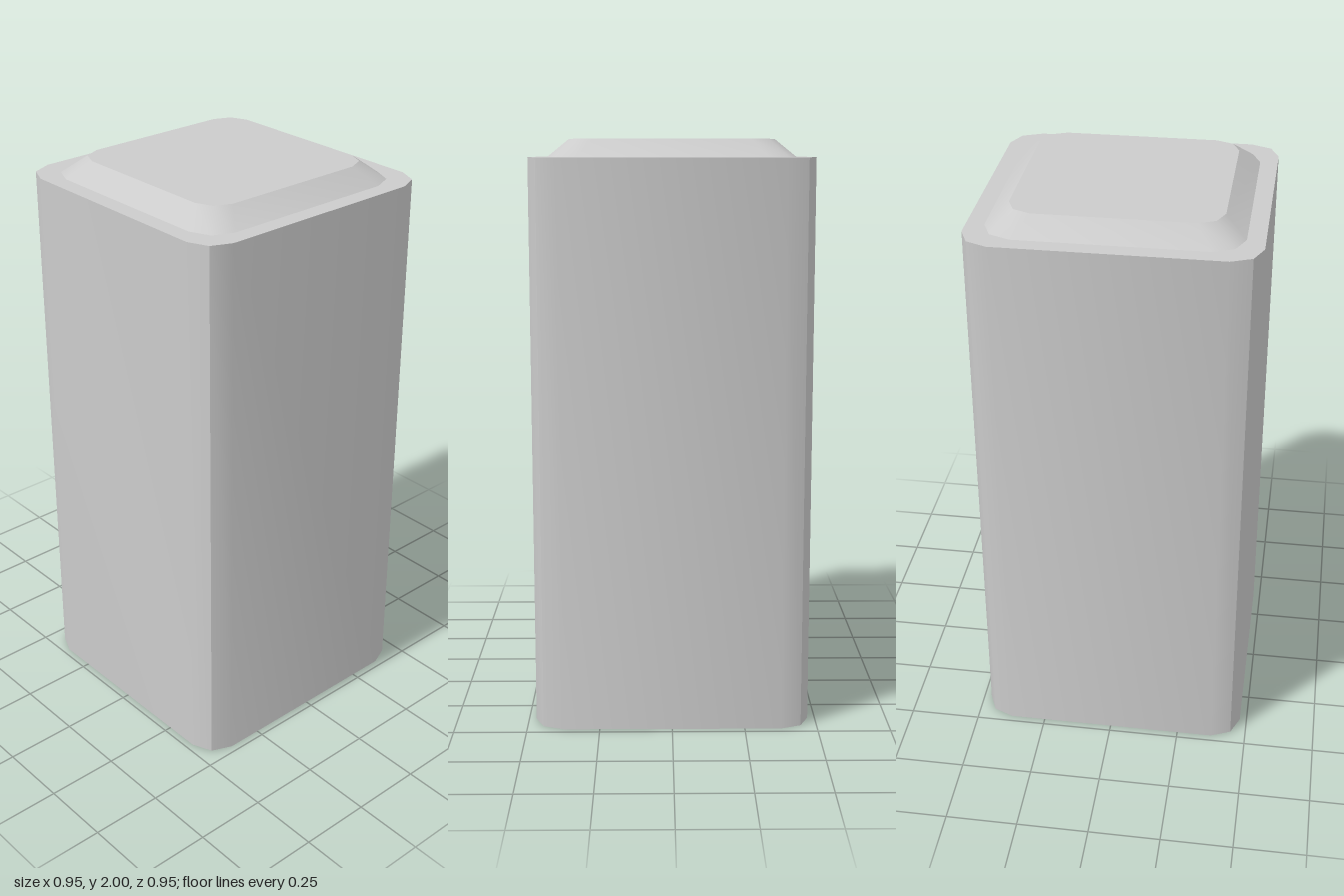
import * as THREE from 'three';
import { toCreasedNormals } from 'three/addons/utils/BufferGeometryUtils.js';

const WALL_HEIGHT = 1.94;
const CAP_HEIGHT = 0.06;
const CAP_TAPER = 0.83;
const CREASE = Math.PI / 6;

// Square outline with two-facet rounded corners
function outline(half) {
  const corner = [[half, half - 0.1], [half - 0.03, half - 0.03], [half - 0.1, half]];
  const points = [];
  for (let i = 0; i < 4; i++) {
    for (const [x, y] of corner) {
      points.push(new THREE.Vector2(x, y).rotateAround(new THREE.Vector2(), i * Math.PI / 2));
    }
  }
  return points;
}

// Upright prism standing on y = 0
function prism(shape, height) {
  const geometry = new THREE.ExtrudeGeometry(shape, { depth: height, bevelEnabled: false });
  return geometry.rotateX(-Math.PI / 2);
}

export function createModel() {
  const group = new THREE.Group();
  group.name = 'hollowPost';
  const material = new THREE.MeshStandardMaterial({ color: 0xcccccc });

  const addPart = (name, geometry) => {
    const mesh = new THREE.Mesh(toCreasedNormals(geometry, CREASE), material);
    mesh.name = name;
    group.add(mesh);
    return mesh;
  };

  // Hollow sleeve, open underneath
  const sleeveShape = new THREE.Shape(outline(0.475));
  sleeveShape.holes.push(new THREE.Path(outline(0.415)));
  addPart('sleeve', prism(sleeveShape, WALL_HEIGHT));

  // Cap closing the top, tapered towards its upper face
  const capGeometry = prism(new THREE.Shape(outline(0.415)), CAP_HEIGHT);
  const pos = capGeometry.attributes.position;
  for (let i = 0; i < pos.count; i++) {
    if (pos.getY(i) > CAP_HEIGHT / 2) {
      pos.setX(i, pos.getX(i) * CAP_TAPER);
      pos.setZ(i, pos.getZ(i) * CAP_TAPER);
    }
  }
  addPart('cap', capGeometry).position.y = WALL_HEIGHT;

  return group;
}
